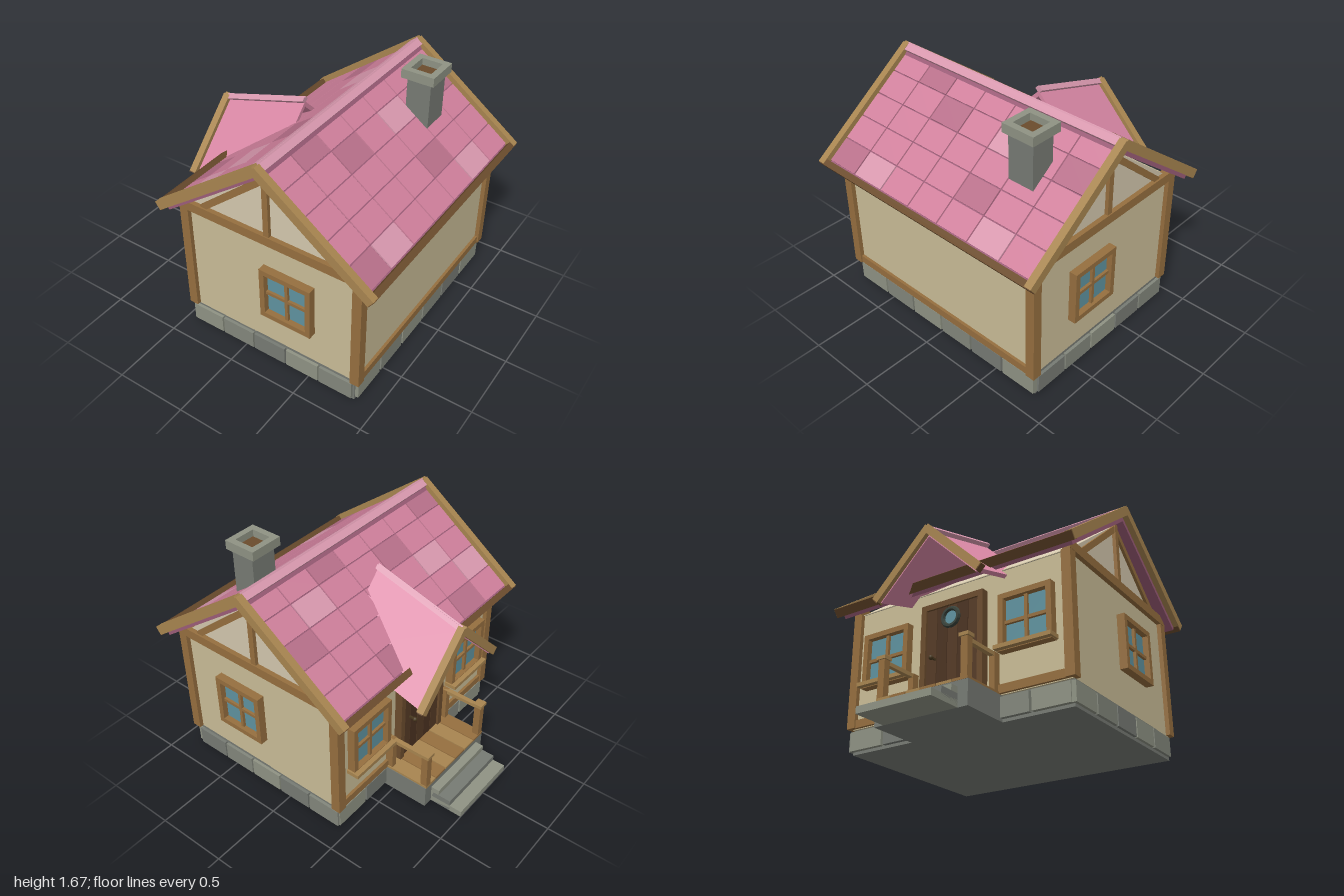
import * as THREE from 'three';

const mats = {};
const mat = (c) => (mats[c] ??= new THREE.MeshStandardMaterial({ color: c, flatShading: true }));
const WOOD = 0x966f3f, TRIM = 0xa88550, DARK = 0x6b4c2d, DOOR = 0x553a25, CREAM = 0xcabd97;
const STONE = 0x777b74, STONE_LIGHT = 0x8f9384, GLASS = 0x5f93a0;
const PINK = 0xd0809c, PINK_LIGHT = 0xd898ae, PINK_DARK = 0xb8708a, UNDER = 0x9c5d78;
const CX = 0.217; // centre line of the house

function add(parent, name, geo, color) {
  const m = new THREE.Mesh(geo, mat(color));
  m.name = name;
  parent.add(m);
  return m;
}

// box given by its min / max on each axis
function span(parent, name, color, [x0, x1], [y0, y1], [z0, z1]) {
  const g = new THREE.BoxGeometry(x1 - x0, y1 - y0, z1 - z0);
  g.translate((x0 + x1) / 2, (y0 + y1) / 2, (z0 + z1) / 2);
  return add(parent, name, g, color);
}

function group(parent, name) {
  const g = new THREE.Group();
  g.name = name;
  parent.add(g);
  return g;
}

// rectangular ring in xy, extruded along z
function ring(w, h, border, depth) {
  const rect = (P, a, b) => new P([[-a, -b], [a, -b], [a, b], [-a, b]].map((p) => new THREE.Vector2(...p)));
  const s = rect(THREE.Shape, w / 2, h / 2);
  s.holes.push(rect(THREE.Path, w / 2 - border, h / 2 - border));
  return new THREE.ExtrudeGeometry(s, { depth, bevelEnabled: false });
}

// four-pane window facing +z, origin on the wall plane
function addWindow(parent, x, z, turn, sill) {
  const w = group(parent, 'window');
  w.position.set(x, 0.61, z);
  w.rotation.y = turn;
  add(w, 'windowFrame', ring(0.375, 0.38, 0.036, 0.055), WOOD);
  span(w, 'windowGlass', GLASS, [-0.16, 0.16], [-0.16, 0.16], [0, 0.015]);
  span(w, 'windowMullion', WOOD, [-0.011, 0.011], [-0.16, 0.16], [0, 0.035]);
  span(w, 'windowTransom', WOOD, [-0.16, 0.16], [-0.011, 0.011], [0, 0.034]);
  if (sill) span(w, 'windowSill', TRIM, [-0.2, 0.2], [-0.185, -0.158], [0, 0.09]);
}

function addFoundation(root) {
  const f = group(root, 'foundation');
  span(f, 'foundationCore', STONE, [-0.41, 0.845], [0, 0.17], [-0.825, 0.825]);
  const shades = [STONE_LIGHT, STONE, 0x83877c];
  for (const s of [-1, 1]) {
    for (let i = 0; i < 5; i++) { // blocks under the gables
      const x = -0.43 + i * 0.255;
      span(f, 'stoneBlock', shades[(i * 2 + 2 * (s < 0)) % 3], [x, x + 0.242], [0.02, 0.15], s > 0 ? [0.8, 0.845] : [-0.845, -0.8]);
    }
    for (let i = 0; i < 6; i++) { // blocks under the long walls
      const z = -0.83 + i * 0.277;
      span(f, 'stoneBlock', shades[(i + (i > 3)) % 3], s > 0 ? [0.82, 0.868] : [-0.438, -0.39], [0.02, 0.15], [z, z + 0.26]);
    }
  }
}

function addWalls(root) {
  const h = group(root, 'walls');
  span(h, 'wallBody', CREAM, [-0.425, 0.86], [0.165, 1.0], [-0.825, 0.825]);
  const tri = new THREE.Shape([[CX - 0.65, 0.99], [CX + 0.65, 0.99], [CX, 1.485]].map((p) => new THREE.Vector2(...p)));
  const gable = new THREE.ExtrudeGeometry(tri, { depth: 1.65, bevelEnabled: false });
  add(h, 'gableWall', gable.translate(0, 0, -0.825), 0xd4c8ae);
  for (const s of [-1, 1]) {
    const z = (a, b) => (s > 0 ? [a, b] : [-b, -a]);
    for (const x of [-0.455, 0.825]) span(h, 'cornerPost', WOOD, [x, x + 0.065], [0.17, 0.99], z(0.79, 0.855));
    span(h, 'gableBeam', WOOD, [-0.455, 0.89], [0.985, 1.05], z(0.8, 0.857));
    span(h, 'kingPost', WOOD, [CX - 0.02, CX + 0.02], [1.05, 1.49], z(0.8, 0.85));
    for (const d of [-1, 1]) {
      const brace = add(h, 'gableBrace', new THREE.BoxGeometry(0.64, 0.042, 0.05), WOOD);
      brace.position.set(CX + d * 0.25, 1.25, s * 0.82);
      brace.rotation.z = -d * 0.7;
    }
    span(h, 'sillBeam', WOOD, s > 0 ? [0.83, 0.88] : [-0.445, -0.4], [0.17, 0.225], [-0.79, 0.79]);
    addWindow(h, 0.363, s * 0.83, s > 0 ? 0 : Math.PI, false);
    addWindow(h, -0.425, s * 0.54, -Math.PI / 2, true);
  }
}

function addRoof(root) {
  // tile shades by column then row: 0 plain, 1 light, 2 dark
  const right = ['00002', '20001', '02000', '00000', '01020', '00001', '02000'];
  const left = ['00200', '01000', '20002', '00020', '02000', '00102', '20010'];
  const shade = [PINK, PINK_LIGHT, PINK_DARK];
  for (const s of [1, -1]) {
    const turn = group(root, 'roofSide');
    turn.position.set(CX, 1.56, 0);
    turn.rotation.y = s > 0 ? 0 : Math.PI;
    const r = group(turn, 'roofSlope'); // x runs down the slope, y along its normal
    r.rotation.z = -0.637;
    span(r, 'roofSlab', UNDER, [-0.02, 0.93], [-0.05, -0.006], [-0.9, 0.9]);
    for (let c = 0; c < 7; c++) for (let k = 0; k < 5; k++) {
      const z = 0.9 - c * 0.257, x = k * 0.183;
      const key = +(s > 0 ? right : left)[c][k];
      span(r, 'roofTile', shade[key], [x + 0.004, x + 0.179], [-0.01, 0.004], [z - 0.252, z - 0.005]);
    }
    for (const z of [-0.94, 0.89]) span(r, 'bargeBoard', TRIM, [-0.02, 0.96], [-0.022, 0.04], [z, z + 0.05]);
    span(r, 'eaveBoard', DARK, [0.922, 0.965], [-0.025, 0.036], [-0.935, 0.935]);
    span(r, 'ridgeCap', PINK_LIGHT, [-0.03, 0.03], [0, 0.037], [-0.895, 0.895]);
  }
}

function addChimney(root) {
  const c = group(root, 'chimney');
  span(c, 'chimneyStack', STONE, [0.43, 0.598], [1.2, 1.61], [-0.58, -0.388]);
  const cap = add(c, 'chimneyCap', ring(0.232, 0.24, 0.044, 0.063), STONE_LIGHT);
  cap.rotation.x = -Math.PI / 2;
  cap.position.set(0.51, 1.603, -0.485);
  span(c, 'chimneyFlue', DARK, [0.445, 0.575], [1.6, 1.625], [-0.55, -0.42]);
}

function addPorch(root) {
  const p = group(root, 'porch');
  span(p, 'porchBase', STONE, [-0.76, -0.4], [0, 0.165], [-0.34, 0.34]);
  for (let i = 0; i < 6; i++) {
    const z = -0.34 + i * 0.1135;
    span(p, 'floorPlank', i % 2 ? WOOD : TRIM, [-0.762, -0.42], [0.163, 0.18], [z + 0.003, z + 0.11]);
  }
  for (let i = 0; i < 3; i++) {
    span(p, 'step', i % 2 ? STONE : STONE_LIGHT, [-1 + i * 0.09, -0.75], [0, 0.045 + i * 0.04], [-0.27, 0.27]);
  }
  for (const s of [-1, 1]) {
    const z = (w) => [s * 0.31 - w, s * 0.31 + w];
    span(p, 'railPost', WOOD, [-0.76, -0.712], [0.17, 0.43], z(0.024));
    span(p, 'railPostCap', TRIM, [-0.77, -0.706], [0.43, 0.453], z(0.034));
    span(p, 'handRail', TRIM, [-0.712, -0.44], [0.404, 0.43], z(0.016));
    span(p, 'wallPost', WOOD, [-0.48, -0.42], [0.17, 0.43], z(0.02));
  }

  // plank door with frame, round light and knob
  const d = group(p, 'door');
  for (let i = 0; i < 5; i++) {
    const z = -0.2 + i * 0.08;
    span(d, 'doorPlank', i % 2 ? 0x4b3220 : DOOR, [-0.465, -0.42], [0.18, 0.84], [z + 0.002, z + 0.078]);
  }
  for (const z of [-0.24, 0.2]) span(d, 'doorJamb', DARK, [-0.48, -0.42], [0.18, 0.88], [z, z + 0.04]);
  span(d, 'doorLintel', DARK, [-0.48, -0.42], [0.84, 0.88], [-0.2, 0.2]);
  const rim = add(d, 'doorLightRim', new THREE.TorusGeometry(0.06, 0.015, 6, 16), 0x3a443c);
  rim.rotation.y = Math.PI / 2;
  rim.position.set(-0.485, 0.745, 0);
  const pane = add(d, 'doorLight', new THREE.CylinderGeometry(0.055, 0.055, 0.02, 16), GLASS);
  pane.rotation.z = Math.PI / 2;
  pane.position.set(-0.467, 0.745, 0);
  add(d, 'doorKnob', new THREE.SphereGeometry(0.016, 10, 8).translate(-0.508, 0.49, -0.13), 0x4a3a20);
  span(d, 'knobStem', 0x4a3a20, [-0.5, -0.46], [0.484, 0.496], [-0.136, -0.124]);

  // gabled porch roof, sheared so its ridge climbs towards the main roof
  const r = group(p, 'porchRoof');
  const shear = new THREE.Matrix4().makeShear(0.3, 0, 0, 0, 0, 0);
  const slope = (name, color, s, x, n, len, climb) => {
    const m = span(r, name, color, x, n, s > 0 ? len : [-len[1], -len[0]]);
    m.geometry.rotateX(s * Math.PI / 4).translate(0.735, 0, 0);
    if (climb) m.geometry.applyMatrix4(shear);
    m.geometry.translate(-0.735, 1.25, 0);
  };
  for (const s of [-1, 1]) {
    slope('porchRoofSlab', 0xd988a5, s, [-0.73, -0.09], [-0.028, 0], [0, 0.55], true);
    slope('porchRidgeCap', PINK_LIGHT, s, [-0.74, -0.09], [0, 0.03], [-0.02, 0.012], true);
    slope('porchBargeBoard', TRIM, s, [-0.76, -0.712], [-0.02, 0.035], [-0.02, 0.56], false);
    slope('porchBargeEnd', DARK, s, [-0.758, -0.714], [-0.02, 0.033], [0.556, 0.566], false);
  }
}

export function createModel() {
  const root = new THREE.Group();
  root.name = 'cottage';
  addFoundation(root);
  addWalls(root);
  addRoof(root);
  addChimney(root);
  addPorch(root);
  return root;
}
